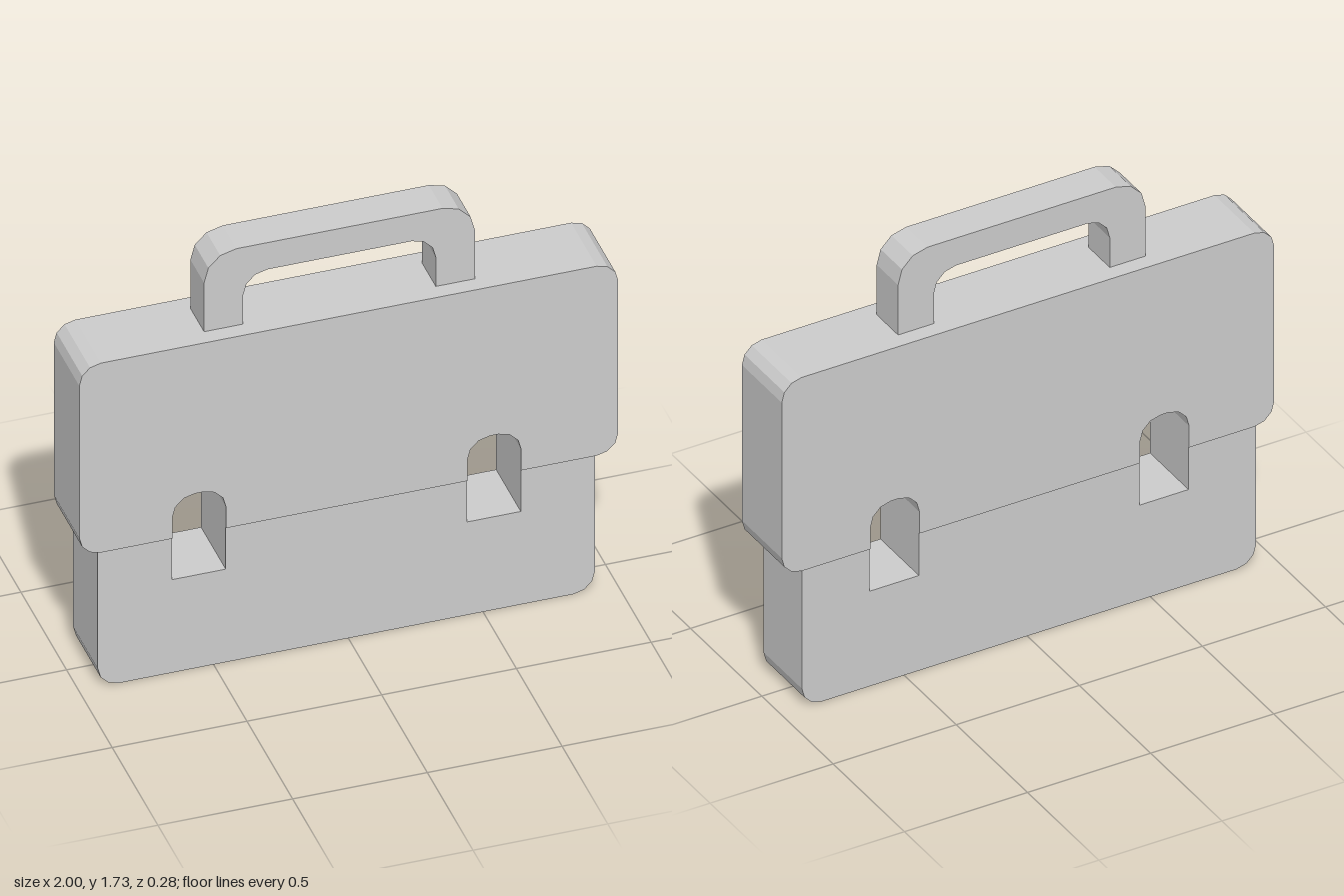
import * as THREE from 'three';

const material = new THREE.MeshStandardMaterial({ color: 0xcccccc, flatShading: true });

// Outline from right-angled corners [x, y, radius]; each rounded corner becomes a few flat facets
function outline(corners, segments = 3) {
  const points = [];
  corners.forEach(([x, y, r = 0], i) => {
    const n = corners.length;
    const p = new THREE.Vector2(x, y);
    if (!r) return points.push(p);
    const prev = corners[(i + n - 1) % n], next = corners[(i + 1) % n];
    const a = new THREE.Vector2(prev[0] - x, prev[1] - y).normalize();
    const b = new THREE.Vector2(next[0] - x, next[1] - y).normalize();
    const centre = p.clone().addScaledVector(a, r).addScaledVector(b, r);
    for (let k = 0; k <= segments; k++) {
      const t = (k / segments) * Math.PI / 2;
      points.push(centre.clone().addScaledVector(b, -r * Math.cos(t)).addScaledVector(a, -r * Math.sin(t)));
    }
  });
  return new THREE.Shape(points);
}

// Slab of the given depth, centred on z = 0
function slab(name, corners, depth) {
  const geometry = new THREE.ExtrudeGeometry(outline(corners), { depth, bevelEnabled: false });
  geometry.translate(0, 0, -depth / 2);
  const mesh = new THREE.Mesh(geometry, material);
  mesh.name = name;
  return mesh;
}

export function createModel() {
  const group = new THREE.Group();
  group.name = 'briefcase';

  const seam = 0.58, top = 1.395;
  const slots = [[-0.655, -0.455], [0.44, 0.64]];

  // Flap: lower edge is cut by two arched clasp openings
  const arches = slots.flatMap(([l, r]) => [[l, seam], [l, 0.755, 0.085], [r, 0.755, 0.085], [r, seam]]);
  group.add(slab('flap', [[-1, seam, 0.08], ...arches, [1, seam, 0.08], [1, top, 0.08], [-1, top, 0.08]], 0.28));

  // Body: upper edge is cut by the square lower halves of the openings
  const notches = [...slots].reverse().flatMap(([l, r]) => [[r, seam], [r, 0.4], [l, 0.4], [l, seam]]);
  group.add(slab('body', [[-0.93, 0, 0.08], [0.915, 0, 0.08], [0.915, seam], ...notches, [-0.93, seam]], 0.27));

  // Handle: rounded arch standing on the flap
  group.add(slab('handle', [
    [0.49, top], [0.49, 1.725, 0.12], [-0.515, 1.725, 0.12], [-0.515, top],
    [-0.37, top], [-0.37, 1.61, 0.09], [0.345, 1.61, 0.09], [0.345, top],
  ], 0.15));

  return group;
}
